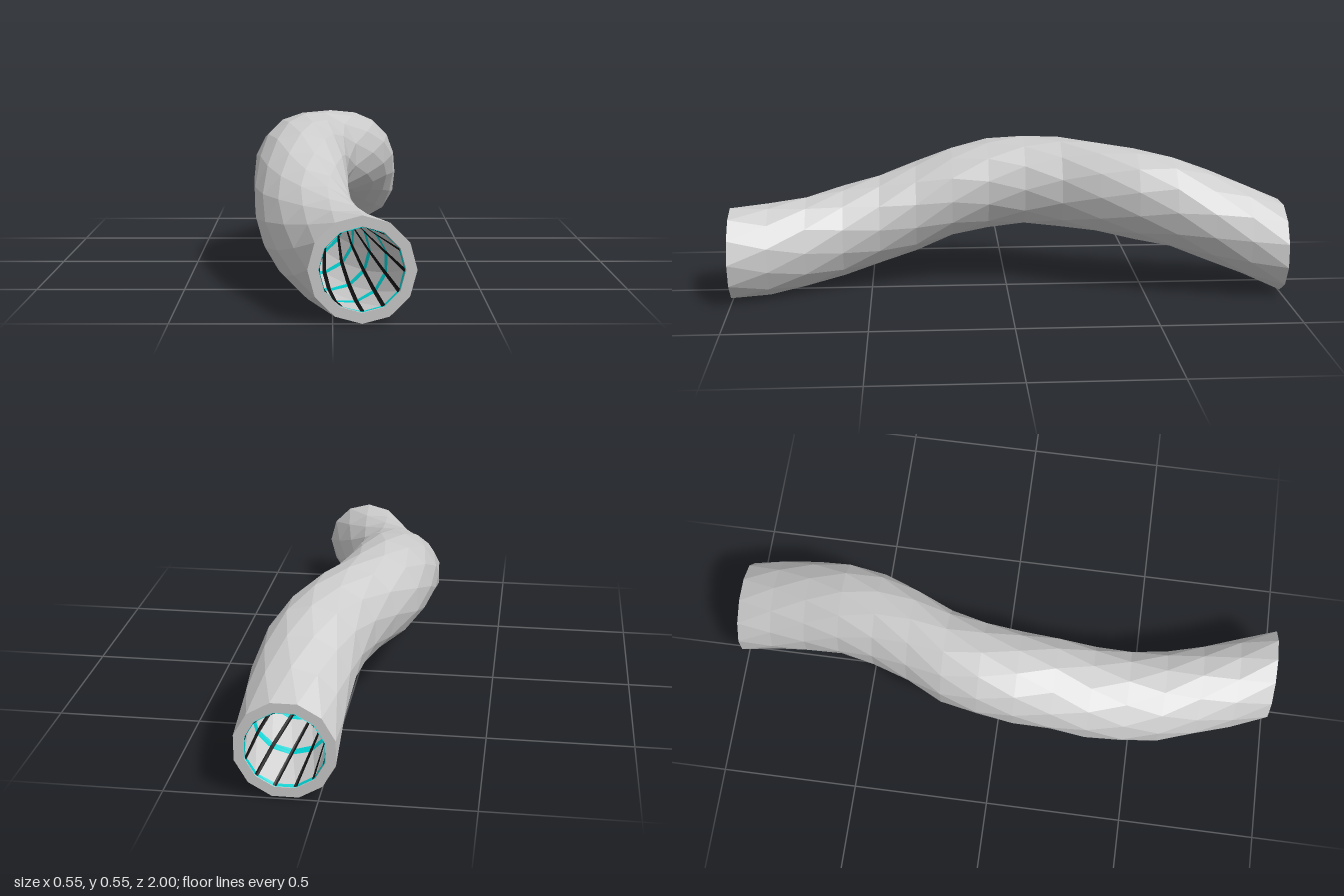
import * as THREE from 'three';

const SIDES = 12, SEGMENTS = 15;
const TWIST = Math.PI / 12; // turn per segment
const OUTER = 0.167, INNER = 0.133;

// Centre line, evenly spaced in z from front (1) to back (-1)
const xs = [0.09, 0.015, -0.06, -0.1, -0.11, -0.11, -0.07, 0.025, 0.08, 0.1, 0.105];
const ys = [0.167, 0.169, 0.205, 0.258, 0.335, 0.375, 0.377, 0.363, 0.33, 0.255, 0.169];
const path = new THREE.CatmullRomCurve3(
  xs.map((x, i) => new THREE.Vector3(x, ys[i], 1 - i * 0.2)), false, 'catmullrom', 0.5);

// Point on section k at a given radius and angle (angle 0 is corner 0)
function pointAt(k, radius, angle) {
  const c = path.getPoint(k / SEGMENTS);
  const a = angle + k * TWIST;
  return new THREE.Vector3(c.x + radius * Math.cos(a), c.y + radius * Math.sin(a), 1 - 2 * k / SEGMENTS);
}

function section(k, radius) {
  return Array.from({ length: SIDES }, (_, j) => pointAt(k, radius, j * 2 * Math.PI / SIDES));
}

// Section between two whole sections
function sectionBetween(k, radius) {
  const lo = Math.min(Math.floor(k), SEGMENTS - 1);
  const next = section(lo + 1, radius);
  return section(lo, radius).map((p, j) => p.lerp(next[j], k - lo));
}

// Triangulated skin over rows of points
function skin(rows, closed = true, flip = false) {
  const out = [];
  const tri = (a, b, c) => [a, ...(flip ? [c, b] : [b, c])].forEach(p => out.push(p.x, p.y, p.z));
  for (let i = 0; i < rows.length - 1; i++) {
    const a = rows[i], b = rows[i + 1];
    for (let j = 0; j < a.length - (closed ? 0 : 1); j++) {
      const n = (j + 1) % a.length;
      tri(a[j], b[j], a[n]);
      tri(a[n], b[j], b[n]);
    }
  }
  const geometry = new THREE.BufferGeometry();
  geometry.setAttribute('position', new THREE.Float32BufferAttribute(out, 3));
  geometry.computeVertexNormals();
  return geometry;
}

export function createModel() {
  const model = new THREE.Group();
  model.name = 'twistedTunnel';
  const grey = new THREE.MeshStandardMaterial({ color: 0xcccccc, flatShading: true });
  const black = new THREE.MeshStandardMaterial({ color: 0x101010, side: THREE.DoubleSide });
  const cyan = new THREE.MeshStandardMaterial({ color: 0x00d0d0, side: THREE.DoubleSide });
  const add = (name, geometry, material, parent = model) => {
    const mesh = new THREE.Mesh(geometry, material);
    mesh.name = name;
    parent.add(mesh);
  };
  const stations = Array.from({ length: SEGMENTS + 1 }, (_, k) => k);

  // Tunnel walls and flat end rims
  add('outerWall', skin(stations.map(k => section(k, OUTER))), grey);
  add('innerWall', skin(stations.map(k => section(k, INNER)), true, true), grey);
  add('frontRim', skin([section(0, INNER), section(0, OUTER)]), grey);
  add('backRim', skin([section(SEGMENTS, OUTER), section(SEGMENTS, INNER)]), grey);

  // Cyan hoops inside, one at each section
  const hoops = new THREE.Group();
  hoops.name = 'hoops';
  model.add(hoops);
  for (const k of stations) {
    const from = Math.max(0, k - 0.08), to = Math.min(SEGMENTS, k + 0.08);
    const rows = [...new Set([from, k, to])].map(s => sectionBetween(s, INNER - 0.002));
    add('hoop', skin(rows, true, true), cyan, hoops);
  }

  // Black stripes following the twisting inner corners
  const stripes = new THREE.Group();
  stripes.name = 'stripes';
  model.add(stripes);
  const half = 0.05, r = INNER - 0.004;
  const edge = r * Math.cos(Math.PI / SIDES) / Math.cos(Math.PI / SIDES - half);
  for (let j = 0; j < SIDES; j++) {
    const a = j * 2 * Math.PI / SIDES;
    const rows = stations.map(k => [pointAt(k, edge, a - half), pointAt(k, r, a), pointAt(k, edge, a + half)]);
    add('stripe', skin(rows, false, true), black, stripes);
  }
  return model;
}
